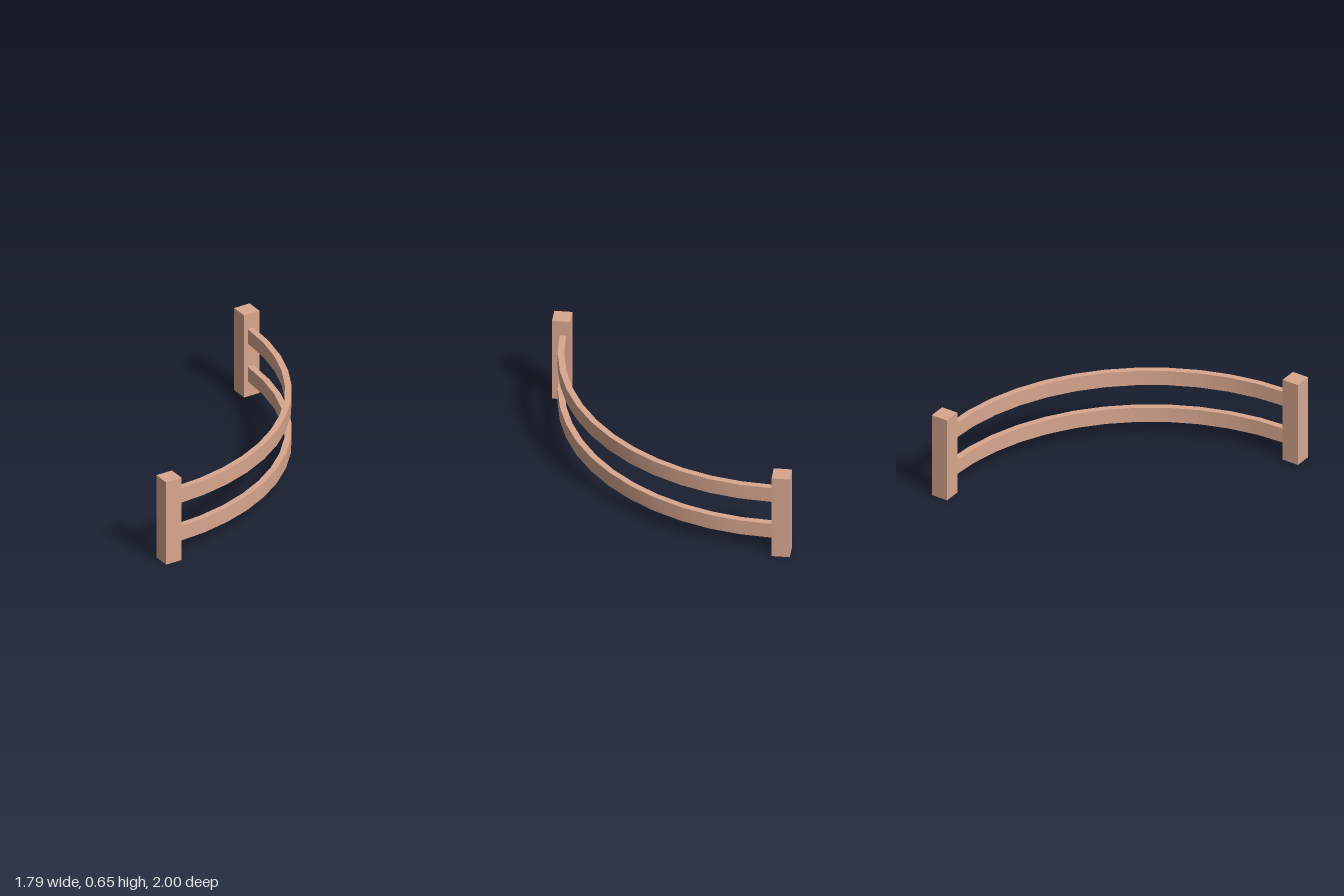
import * as THREE from 'three';
import { toCreasedNormals } from 'three/addons/utils/BufferGeometryUtils.js';

const material = new THREE.MeshStandardMaterial({ color: 0xd9a78f });

const POST = { size: 0.128, height: 0.652 };
const RAIL = { height: 0.115, thickness: 0.046 };
const TILT = THREE.MathUtils.degToRad(3.4);
const ARC = { x: -0.855, z: -0.759, radius: 1.677, segments: 12 };
const POST_X = 0.825, POST_Z = 0.932;

// Plan outline of a rail edge: quarter arc, run on into the post centres
function railEdge(offset) {
  const points = [new THREE.Vector2(POST_X + offset, POST_Z)];
  for (let i = 0; i <= ARC.segments; i++) {
    const a = -TILT + (i / ARC.segments) * Math.PI / 2;
    const r = ARC.radius + offset;
    points.push(new THREE.Vector2(ARC.x + r * Math.cos(a), -(ARC.z + r * Math.sin(a))));
  }
  points.push(new THREE.Vector2(-POST_X, -POST_Z - offset));
  return points;
}

function railGeometry() {
  const half = RAIL.thickness / 2;
  const shape = new THREE.Shape([...railEdge(half), ...railEdge(-half).reverse()]);
  const geometry = new THREE.ExtrudeGeometry(shape, { depth: RAIL.height, bevelEnabled: false });
  geometry.rotateX(-Math.PI / 2);
  return toCreasedNormals(geometry, 0.5);
}

export function createModel() {
  const group = new THREE.Group();
  group.name = 'curvedFence';

  // Square end posts
  const postGeometry = new THREE.BoxGeometry(POST.size, POST.height, POST.size);
  for (const side of [1, -1]) {
    const post = new THREE.Mesh(postGeometry, material);
    post.name = side > 0 ? 'leftPost' : 'rightPost';
    post.position.set(side * POST_X, POST.height / 2, -side * POST_Z);
    post.rotation.y = TILT;
    group.add(post);
  }

  // Two curved rails
  const geometry = railGeometry();
  for (const [name, y] of [['lowerRail', 0.12], ['upperRail', 0.42]]) {
    const rail = new THREE.Mesh(geometry, material);
    rail.name = name;
    rail.position.y = y;
    group.add(rail);
  }
  return group;
}
